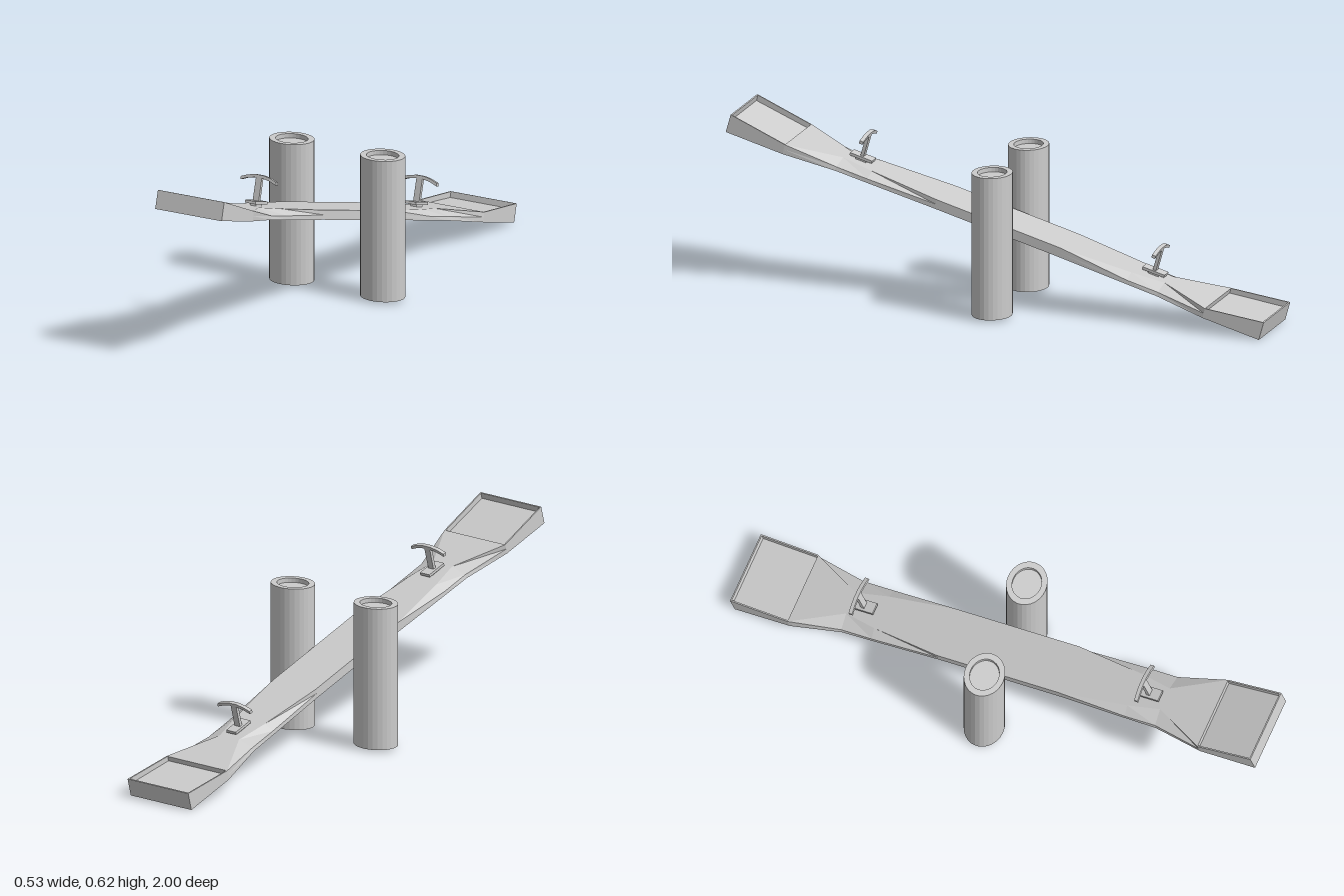
import * as THREE from 'three';

const grey = new THREE.MeshStandardMaterial({ color: 0xcccccc, flatShading: true });
grey.name = 'light grey';

function part(parent, name, geometry, x = 0, y = 0, z = 0) {
  const mesh = new THREE.Mesh(geometry, grey);
  mesh.name = name;
  mesh.position.set(x, y, z);
  parent.add(mesh);
  return mesh;
}

// Faceted solid through cross-sections { z, ring: [[x, y], ...] }, rings counter-clockwise from +z
function loft(sections) {
  const out = [];
  const put = (i, j) => {
    const s = sections[i], p = s.ring[j % s.ring.length];
    out.push(p[0], p[1], s.z);
  };
  const n = sections[0].ring.length, last = sections.length - 1;
  for (let i = 0; i < last; i++) {
    for (let j = 0; j < n; j++) {
      put(i, j); put(i, j + 1); put(i + 1, j + 1);
      put(i, j); put(i + 1, j + 1); put(i + 1, j);
    }
  }
  for (let j = 1; j < n - 1; j++) {
    put(last, 0); put(last, j); put(last, j + 1);
    put(0, 0); put(0, j + 1); put(0, j);
  }
  const g = new THREE.BufferGeometry();
  g.setAttribute('position', new THREE.Float32BufferAttribute(out, 3));
  g.computeVertexNormals();
  return g;
}

// Side profile [z, y] extruded across x, centred
function across(profile, width) {
  const shape = new THREE.Shape(profile.map(p => new THREE.Vector2(p[0], p[1])));
  const g = new THREE.ExtrudeGeometry(shape, { depth: width, bevelEnabled: false });
  g.translate(0, 0, -width / 2);
  g.rotateY(-Math.PI / 2);
  return g;
}

const INNER = 0.81, END = 1.028, HALF = 0.135, RIM = 0.005;

// Beam: [z, bottom half width, shoulder half width, shoulder y, top half width, top y]
function beam() {
  const half = [
    [0.24, 0.093, 0.093, 0.017, 0.093, 0.034],
    [0.50, 0.099, 0.098, 0.014, 0.064, 0.034],
    [0.62, 0.101, 0.098, 0.014, 0.042, 0.034],
    [INNER, HALF, HALF, 0.018, HALF, 0.036],
  ];
  const section = ([z, b, s, sy, t, ty], side) => ({
    z: z * side,
    ring: [[-b, 0], [b, 0], [s, sy], [t, ty], [-t, ty], [-s, sy]],
  });
  return loft([
    ...half.slice().reverse().map(h => section(h, -1)),
    ...half.map(h => section(h, 1)),
  ]);
}

// Sunken seat with a thin rim on three sides
function seat() {
  const group = new THREE.Group();
  group.name = 'seat';
  part(group, 'seatFloor', across([[INNER, 0], [END, 0], [END, 0.046], [INNER, 0.018]], HALF * 2 - RIM));
  const side = across([[INNER, 0], [END, 0], [END, 0.067], [INNER, 0.036]], RIM);
  for (const s of [-1, 1]) part(group, 'seatSideRim', side, s * (HALF - RIM / 2));
  part(group, 'seatEndRim', new THREE.BoxGeometry(HALF * 2 - RIM, 0.067, RIM), 0, 0.0335, END - RIM / 2);
  return group;
}

// Handle: foot, mounting plate, upright and arched grip
function handle() {
  const group = new THREE.Group();
  group.name = 'handle';
  part(group, 'handleFoot', new THREE.BoxGeometry(0.025, 0.012, 0.04), 0, 0.037, 0);
  part(group, 'handlePlate', new THREE.BoxGeometry(0.042, 0.01, 0.085), 0, 0.047, 0);
  part(group, 'handleUpright', new THREE.BoxGeometry(0.024, 0.088, 0.012), 0, 0.094, 0);
  const grip = [-0.072, -0.045, -0.016, 0.016, 0.045, 0.072].map(x => {
    const y = 0.144 - 3.2 * x * x;
    return { z: x, ring: [[-0.007, y - 0.011], [0.007, y - 0.011], [0.007, y], [-0.007, y]] };
  });
  part(group, 'handleGrip', loft(grip)).rotation.y = Math.PI / 2;
  return group;
}

// Hollow-topped post, slightly oval
function post() {
  const profile = [
    [0, 0.01], [0.082, 0.01], [0.082, 0.526], [0.059, 0.526], [0.059, 0.51], [0, 0.51],
  ].map(p => new THREE.Vector2(p[0], p[1]));
  const g = new THREE.LatheGeometry(profile, 28);
  g.scale(1, 1, 0.86);
  return g;
}

export function createModel() {
  const model = new THREE.Group();
  model.name = 'seesaw';

  // Tilted board with a seat and handle at each end
  const board = new THREE.Group();
  board.name = 'board';
  board.position.set(0, 0.278, 0.01);
  board.rotation.x = -0.2733;
  model.add(board);
  part(board, 'beam', beam());
  for (const turn of [0, Math.PI]) {
    const end = new THREE.Group();
    end.name = turn ? 'backEnd' : 'frontEnd';
    end.rotation.y = turn;
    const grip = handle();
    grip.position.z = 0.564;
    end.add(seat(), grip);
    board.add(end);
  }

  // Support posts on both sides
  const postGeometry = post();
  for (const s of [-1, 1]) part(model, s > 0 ? 'leftPost' : 'rightPost', postGeometry, s * 0.185, 0, -0.008);

  return model;
}
